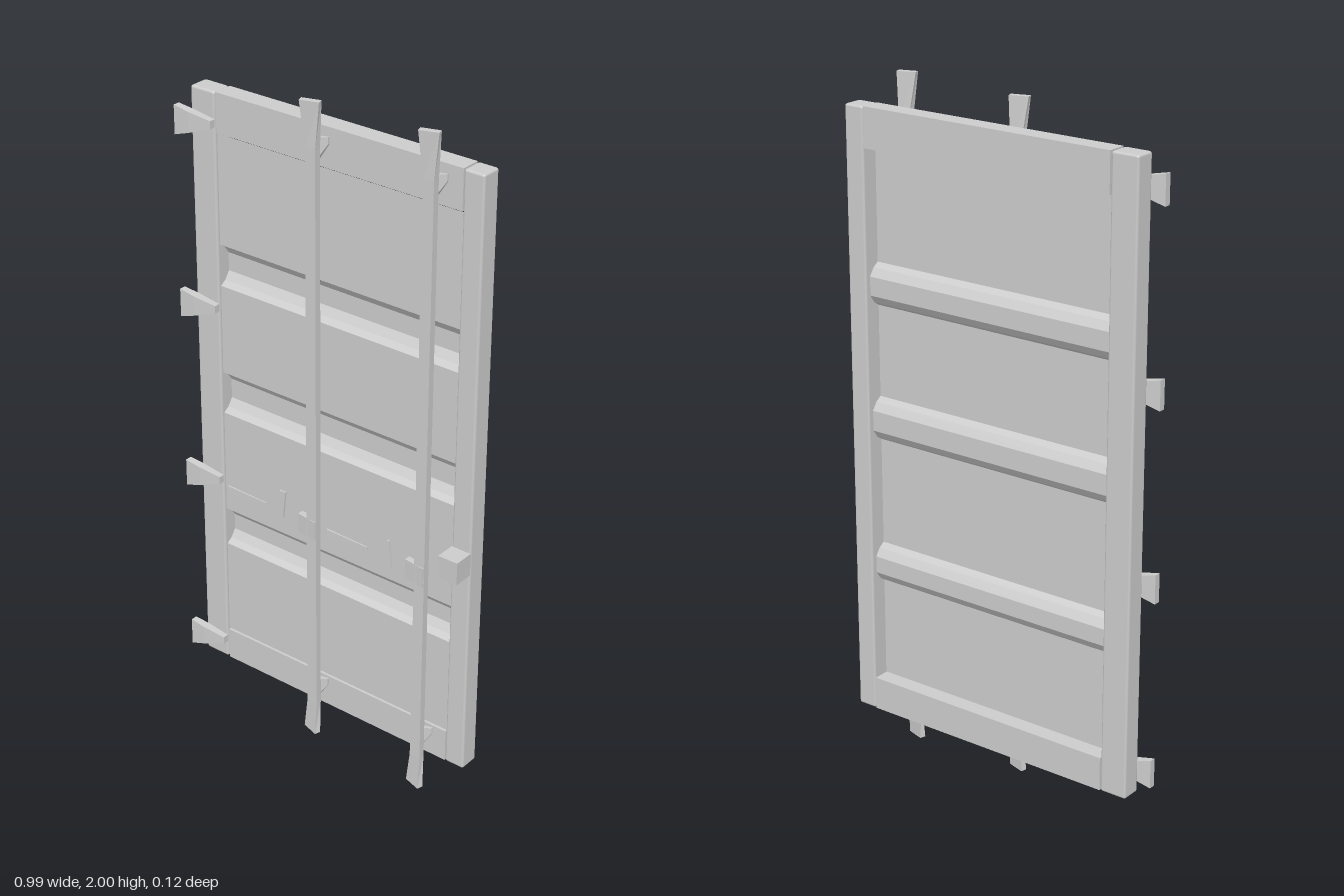
import * as THREE from 'three';
import { RoundedBoxGeometry } from 'three/addons/geometries/RoundedBoxGeometry.js';

const smooth = new THREE.MeshStandardMaterial({ color: 0xcccccc });
const faceted = new THREE.MeshStandardMaterial({ color: 0xcccccc, flatShading: true, side: THREE.DoubleSide });

export function createModel() {
  const group = new THREE.Group();

  function add(name, geometry, material = faceted) {
    const mesh = new THREE.Mesh(geometry, material);
    mesh.name = name;
    group.add(mesh);
    return mesh;
  }

  // Box given by its limits, with slightly softened edges when r > 0
  function block(name, x0, x1, y0, y1, z0, z1, r = 0) {
    const s = [x1 - x0, y1 - y0, z1 - z0];
    const geo = r ? new RoundedBoxGeometry(...s, 2, r) : new THREE.BoxGeometry(...s);
    geo.translate((x0 + x1) / 2, (y0 + y1) / 2, (z0 + z1) / 2);
    return add(name, geo, r ? smooth : faceted);
  }

  // Loft through four-cornered sections, each an array of [x, y, z]
  function loft(name, sections) {
    const pos = sections.flat(2);
    const idx = [];
    for (let i = 0; i < sections.length - 1; i++) {
      for (let k = 0; k < 4; k++) {
        const a = i * 4 + k, b = i * 4 + (k + 1) % 4;
        idx.push(a, b, b + 4, a, b + 4, a + 4);
      }
    }
    const e = (sections.length - 1) * 4;
    idx.push(0, 2, 1, 0, 3, 2, e, e + 1, e + 2, e, e + 2, e + 3);
    const geo = new THREE.BufferGeometry();
    geo.setAttribute('position', new THREE.Float32BufferAttribute(pos, 3));
    geo.setIndex(idx);
    geo.computeVertexNormals();
    return add(name, geo);
  }

  // Section across x (for hinges and slivers) and across y (for rods)
  const sectionX = (x, y0, y1, z0, z1) => [[x, y0, z0], [x, y1, z0], [x, y1, z1], [x, y0, z1]];
  const sectionY = (x, y, w, z, d, turn = 0) => [[-1, 1], [1, 1], [1, -1], [-1, -1]].map(([u, v]) => {
    const a = u * w / 2, b = v * d / 2;
    return [x + a * Math.cos(turn) - b * Math.sin(turn), y, z + a * Math.sin(turn) + b * Math.cos(turn)];
  });

  // Frame
  block('rightStile', -0.463, -0.38, 0.1, 1.91, -0.062, 0, 0.007);
  block('leftStile', 0.43, 0.492, 0.1, 1.91, -0.062, 0, 0.007);
  block('topRail', -0.376, 0.428, 1.795, 1.91, -0.06, -0.002);
  block('bottomRail', -0.376, 0.428, 0.1, 0.2, -0.06, -0.002);

  // Sheet panel with three grooves pressed towards the back
  const profile = [[1.79, -0.01]];
  for (const [top, bottom] of [[1.465, 1.34], [1.07, 0.94], [0.62, 0.5]]) {
    profile.push([top, -0.01], [top - 0.012, -0.028], [top - 0.035, -0.044],
      [bottom + 0.035, -0.044], [bottom + 0.012, -0.028], [bottom, -0.01]);
  }
  profile.push([0.2, -0.01]);
  const sheet = new THREE.PlaneGeometry(0.81, 1, 1, profile.length - 1);
  const p = sheet.attributes.position;
  for (let i = 0; i < p.count; i++) {
    const [y, z] = profile[i >> 1];
    p.setXYZ(i, p.getX(i) + 0.025, y, z);
  }
  add('pressedPanel', sheet);

  // Wedge hinges
  for (const y of [1.815, 1.27, 0.72, 0.16]) {
    loft('hinge', [
      sectionX(-0.497, y - 0.045, y + 0.04, 0.01, 0.03),
      sectionX(-0.45, y - 0.03, y + 0.03, 0.002, 0.027),
      sectionX(-0.38, y - 0.005, y + 0.018, 0, 0.018),
    ]);
  }

  // Locking rods with flared ends
  for (const [x, y0, y1] of [[-0.025, 0.015, 1.985], [0.35, 0, 2]]) {
    loft('lockingRod', [
      sectionY(x - 0.002, y0, 0.055, 0.032, 0.018, 0.3),
      sectionY(x, y0 + 0.1, 0.034, 0.026, 0.02),
      sectionY(x, y1 - 0.13, 0.034, 0.026, 0.02),
      sectionY(x - 0.002, y1, 0.055, 0.032, 0.018, -0.3),
    ]);
    // Rod guides
    for (const y of [0.15, 1.84]) {
      loft('rodGuide', [
        sectionX(x - 0.035, y - 0.035, y + 0.035, 0, 0.006),
        sectionX(x, y - 0.03, y + 0.04, 0.002, 0.02),
        sectionX(x + 0.035, y + 0.025, y + 0.045, 0, 0.006),
      ]);
    }
    loft('rodBracket', [
      sectionX(x - 0.052, 0.68, 0.74, 0.012, 0.03),
      sectionX(x + 0.015, 0.68, 0.74, 0.018, 0.04),
    ]);
  }

  // Handle bars between the rods
  for (const [x0, x1, z] of [[-0.34, -0.2, 0.022], [0.025, 0.165, 0.026]]) {
    loft('handleBar', [
      sectionX(x0, 0.705, 0.728, z, z + 0.005),
      sectionX(x1, 0.716, 0.722, z - 0.003, z),
    ]);
  }

  // Small latch tabs
  for (const [x, y0, y1, w0, w1] of [[-0.155, 0.685, 0.77, 0.004, 0.022],
    [0.22, 0.67, 0.755, 0.026, 0.008], [0.315, 0.64, 0.7, 0.028, 0.02]]) {
    loft('latchTab', [
      sectionY(x, y0, w0, 0.003, 0.005),
      sectionY(x, y1, w1, 0.003, 0.005),
    ]);
  }

  // Catch standing out from the left stile
  loft('catch', [
    sectionY(0.461, 0.75, 0.06, 0.029, 0.06),
    sectionY(0.461, 0.82, 0.062, 0.029, 0.064),
  ]);

  return group;
}
